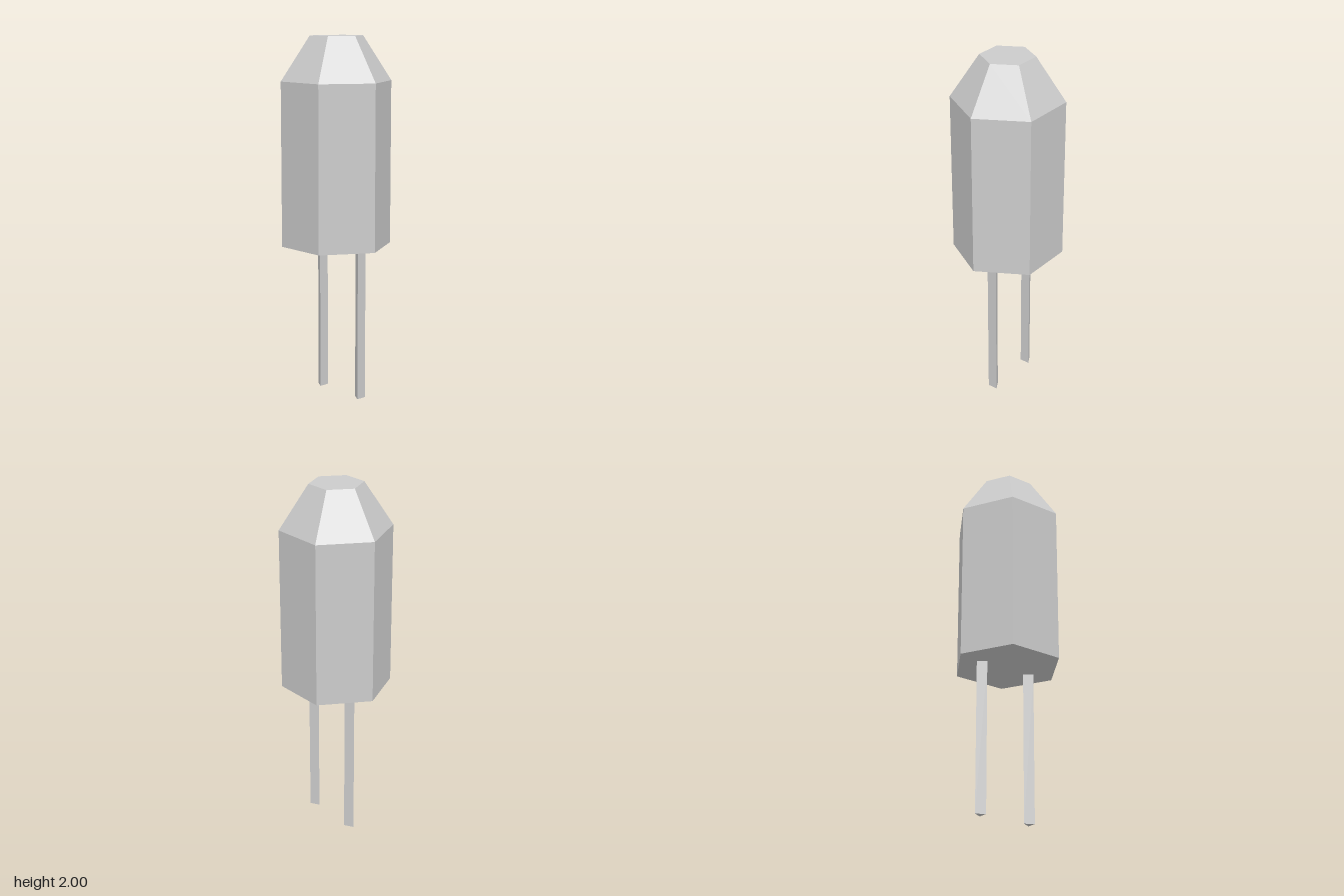
import * as THREE from 'three';

const material = new THREE.MeshStandardMaterial({ color: 0xcccccc, flatShading: true });

// Upright prism or frustum between two heights
function prism(name, rTop, rBottom, y0, y1, sides, x, z, open = false) {
  const geometry = new THREE.CylinderGeometry(rTop, rBottom, y1 - y0, sides, 1, open);
  const mesh = new THREE.Mesh(geometry, material);
  mesh.name = name;
  mesh.position.set(x, (y0 + y1) / 2, z);
  return mesh;
}

// Outline of the hexagonal bulb, from the base centre to the top centre
const bulbProfile = [[0, 0.853], [0.306, 0.853], [0.306, 1.757], [0.147, 2], [0, 2]];

export function createModel() {
  const group = new THREE.Group();
  group.name = 'indicatorLamp';

  // Six-sided bulb with a tapered, flat-topped cap
  const points = bulbProfile.map(([r, y]) => new THREE.Vector2(r, y));
  const bulb = new THREE.Mesh(new THREE.LatheGeometry(points, 6), material);
  bulb.name = 'bulb';
  bulb.position.z = -0.001;
  group.add(bulb);

  // Two three-sided wire legs, flat side to the front
  for (const [name, z] of [['frontLeg', 0.16], ['backLeg', -0.152]]) {
    const leg = prism(name, 0.033, 0.033, 0, 0.853, 3, 0.025, z);
    leg.rotation.y = Math.PI;
    group.add(leg);
  }

  return group;
}
